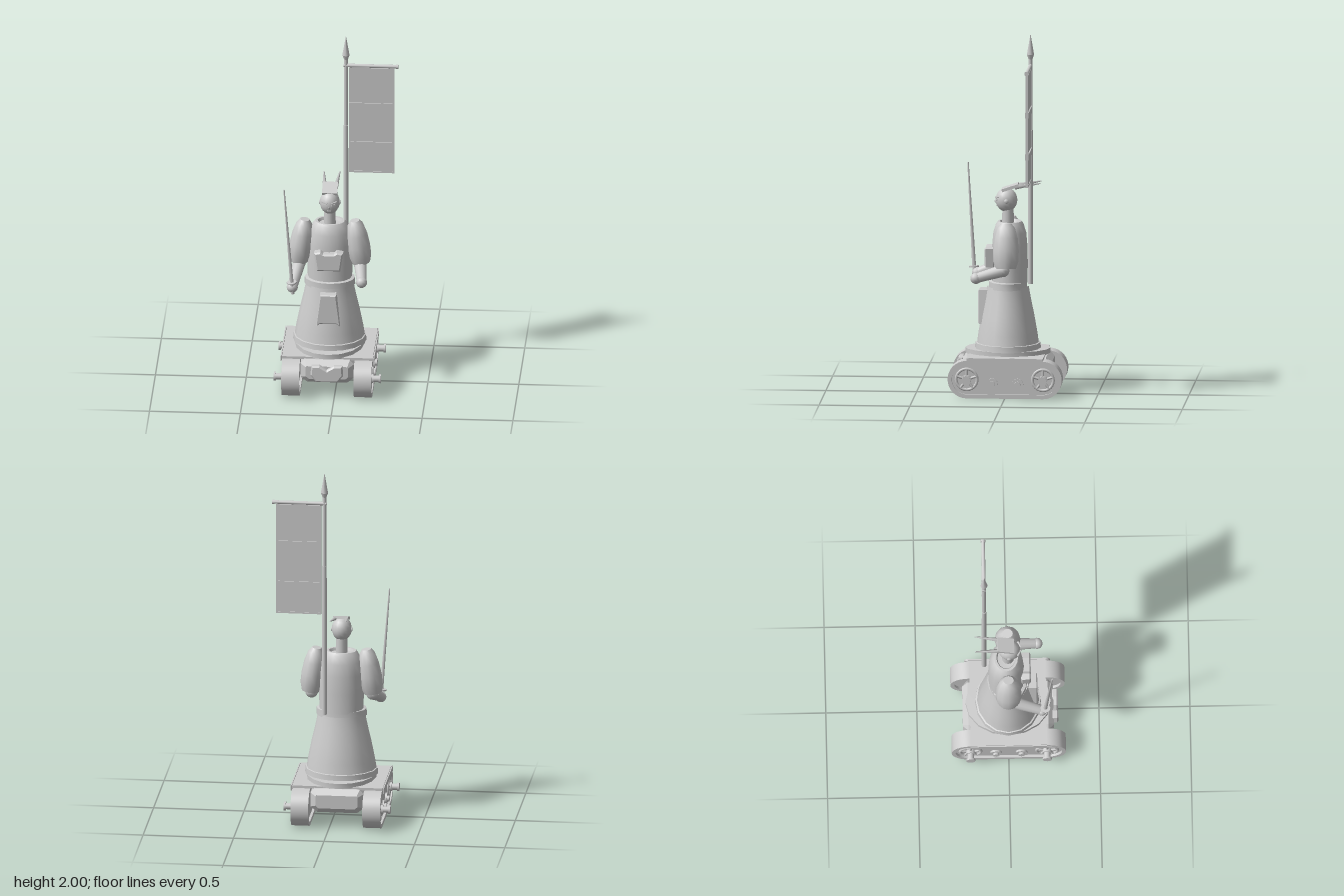
import * as THREE from 'three';
import { toCreasedNormals } from 'three/addons/utils/BufferGeometryUtils.js';

const grey = new THREE.MeshStandardMaterial({ color: 0xcccccc });
grey.name = 'light grey';
const CX = -0.04; // centre line of the figure
const V = (x, y, z) => new THREE.Vector3(x, y, z);

function add(parent, name, geo, x = 0, y = 0, z = 0) {
  const m = new THREE.Mesh(geo, grey);
  m.name = name;
  m.position.set(x, y, z);
  parent.add(m);
  return m;
}
const box = (p, n, w, h, d, x, y, z) => add(p, n, new THREE.BoxGeometry(w, h, d), x, y, z);

// Tapered rod from a to b
function rod(p, n, a, b, r0, r1 = r0, sides = 12) {
  const d = b.clone().sub(a);
  const m = add(p, n, new THREE.CylinderGeometry(r1, r0, d.length(), sides));
  m.position.copy(a).addScaledVector(d, 0.5);
  m.quaternion.setFromUnitVectors(V(0, 1, 0), d.normalize());
  return m;
}

// Elliptical turned part; profile rows are [radius, y]
function turned(p, n, rows, depth, x, z, sides = 16) {
  const g = new THREE.LatheGeometry(rows.map(r => new THREE.Vector2(...r)), sides);
  const m = add(p, n, toCreasedNormals(g, 0.6), x, 0, z);
  m.scale.z = depth;
  return m;
}

// Flat outline extruded toward +z
function plate(p, n, pts, depth, bevel, x, y, z) {
  const s = new THREE.Shape(pts.map(q => new THREE.Vector2(...q)));
  const g = new THREE.ExtrudeGeometry(s, { depth, bevelEnabled: bevel > 0, bevelThickness: bevel,
    bevelSize: bevel, bevelOffset: -bevel, bevelSegments: 1 });
  return add(p, n, g, x, y, z);
}

function stadium(half, r, Type = THREE.Shape) {
  const s = new Type();
  s.moveTo(-half, -r);
  s.lineTo(half, -r);
  s.absarc(half, 0, r, -Math.PI / 2, Math.PI / 2, false);
  s.lineTo(-half, r);
  s.absarc(-half, 0, r, Math.PI / 2, Math.PI * 1.5, false);
  return s;
}

// Track unit, outer face toward +x, centred on its width
function track(side) {
  const g = new THREE.Group();
  g.name = side > 0 ? 'leftTrack' : 'rightTrack';
  const loop = stadium(0.21, 0.104);
  loop.holes.push(stadium(0.21, 0.082, THREE.Path));
  const lg = new THREE.ExtrudeGeometry(loop, { depth: 0.098, bevelEnabled: false, curveSegments: 14 });
  add(g, 'trackBelt', toCreasedNormals(lg.translate(0, 0, -0.049).rotateY(Math.PI / 2), 0.6));
  const ig = new THREE.ExtrudeGeometry(stadium(0.21, 0.083), { depth: 0.07, bevelEnabled: false });
  add(g, 'trackCore', ig.translate(0, 0, -0.035).rotateY(Math.PI / 2));
  for (const z of [-0.21, 0.21]) {
    const rim = add(g, 'wheelRim', new THREE.TorusGeometry(0.058, 0.008, 8, 24), 0.038, 0, z);
    rim.rotation.y = Math.PI / 2;
    for (let i = 0; i < 5; i++) {
      const a = i / 5 * Math.PI * 2;
      rod(g, 'wheelSpoke', V(0.04, 0, z), V(0.04, Math.cos(a) * 0.056, z + Math.sin(a) * 0.056), 0.007, 0.007, 6);
    }
    rod(g, 'axle', V(0.03, 0, z), V(0.088, 0, z), 0.018);
    rod(g, 'axleCap', V(0.085, 0, z), V(0.096, 0, z), 0.025);
    rod(g, 'axleCollar', V(0.03, 0, z), V(0.056, 0, z), 0.026);
  }
  for (const z of [-0.07, 0.07]) {
    rod(g, 'roller', V(0.03, -0.025, z), V(0.046, -0.025, z), 0.032, 0.032, 16);
    rod(g, 'rollerHub', V(0.04, -0.025, z), V(0.058, -0.025, z), 0.017);
  }
  for (const z of [-0.17, 0.17]) for (const y of [-0.035, 0.035])
    rod(g, 'bolt', V(0.03, y, z), V(0.041, y, z), 0.006, 0.006, 6);
  g.position.set(CX + side * 0.1985, 0.104, 0);
  if (side < 0) g.rotation.y = Math.PI;
  return g;
}

function arm(side, hand) {
  const g = new THREE.Group();
  g.name = side > 0 ? 'leftArm' : 'rightArm';
  // Puffed sleeve, leaning outward toward the elbow
  const sleeve = turned(g, 'sleeve', [[0, 0], [0.05, 0], [0.062, 0.04], [0.064, 0.1], [0.058, 0.17],
    [0.044, 0.225], [0.026, 0.25], [0, 0.25]], 1.12, CX + side * 0.172, 0, 12);
  sleeve.position.y = 0.71;
  sleeve.rotation.z = side * 0.14;
  const elbow = V(CX + side * 0.168, 0.7, 0.015);
  add(g, 'elbow', new THREE.SphereGeometry(0.036, 12, 8), elbow.x, elbow.y, elbow.z);
  rod(g, 'forearm', elbow, hand, 0.035, 0.027);
  add(g, 'hand', new THREE.SphereGeometry(0.031, 12, 8), hand.x, hand.y, hand.z);
  return g;
}

export function createModel() {
  const root = new THREE.Group();
  root.name = 'trackedWarrior';

  // Chassis
  const chassis = new THREE.Group();
  chassis.name = 'chassis';
  root.add(chassis);
  chassis.add(track(1), track(-1));
  plate(chassis, 'hull', [[-0.11, 0.08], [0.11, 0.08], [0.147, 0.11], [0.147, 0.19], [0.125, 0.215],
    [-0.125, 0.215], [-0.147, 0.19], [-0.147, 0.11]], 0.44, 0.03, CX, 0, -0.22);
  plate(chassis, 'frontPlate', [[-0.06, 0.1], [0.06, 0.1], [0.09, 0.14], [0.085, 0.195], [0.04, 0.195],
    [0, 0.17], [-0.04, 0.195], [-0.085, 0.195], [-0.09, 0.14]], 0.02, 0.008, CX, 0, 0.247);
  box(chassis, 'deck', 0.5, 0.014, 0.42, CX, 0.217, 0);
  for (const s of [-1, 1]) box(chassis, 'deckLip', 0.006, 0.03, 0.42, CX + s * 0.255, 0.209, 0);

  // Skirt, belt and torso
  const body = new THREE.Group();
  body.name = 'body';
  root.add(body);
  turned(body, 'baseRing', [[0, 0.22], [0.192, 0.22], [0.192, 0.248], [0, 0.25]], 1.22, CX, 0);
  turned(body, 'skirtHem', [[0, 0.245], [0.202, 0.245], [0.199, 0.278], [0.19, 0.28]], 0.9, CX, 0);
  turned(body, 'skirt', [[0.194, 0.27], [0.185, 0.33], [0.165, 0.43], [0.144, 0.52], [0.13, 0.59]], 0.88, CX, 0);
  turned(body, 'belt', [[0.125, 0.58], [0.14, 0.58], [0.138, 0.618], [0.12, 0.622]], 0.76, CX, 0);
  turned(body, 'torso', [[0.122, 0.61], [0.124, 0.72], [0.121, 0.82], [0.113, 0.89], [0.095, 0.935],
    [0.082, 0.95], [0.068, 0.95], [0.06, 0.935], [0, 0.93]], 0.8, CX, -0.01);
  plate(body, 'chestPlate', [[-0.065, 0.7], [0.065, 0.7], [0.08, 0.805], [0.045, 0.812], [0.03, 0.8],
    [-0.03, 0.8], [-0.045, 0.812], [-0.08, 0.805]], 0.04, 0.008, CX, 0, 0.077);
  plate(body, 'skirtFlap', [[-0.066, 0.385], [-0.045, 0.4], [0.045, 0.4], [0.066, 0.385],
    [0.045, 0.572], [-0.045, 0.572]], 0.045, 0.006, CX, 0, 0.11);

  // Head
  const head = new THREE.Group();
  head.name = 'head';
  head.position.set(CX, 0, 0);
  root.add(head);
  rod(head, 'neck', V(0, 0.92, 0), V(0, 1.03, 0), 0.033, 0.031);
  add(head, 'skull', new THREE.SphereGeometry(0.058, 16, 12), 0, 1.068, 0.008).scale.set(0.95, 1.15, 1.03);
  rod(head, 'nose', V(0, 1.052, 0.06), V(0, 1.064, 0.074), 0.008, 0.003, 6);
  box(head, 'mouth', 0.022, 0.005, 0.008, 0, 1.037, 0.058);
  for (const s of [-1, 1]) {
    const brow = box(head, 'brow', 0.034, 0.007, 0.01, s * 0.026, 1.083, 0.059);
    brow.rotation.set(0, s * 0.4, s * 0.2);
    box(head, 'eye', 0.02, 0.007, 0.008, s * 0.023, 1.07, 0.06).rotation.y = s * 0.4;
    const ear = add(head, 'ear', new THREE.SphereGeometry(0.013, 8, 6), s * 0.054, 1.066, 0.005);
    ear.scale.x = 0.5;
    // Swept-back crest horn
    rod(head, 'horn', V(s * 0.031, 1.142, -0.04), V(s * 0.044, 1.168, -0.182), 0.013, 0.003, 4);
  }
  box(head, 'crestPlate', 0.084, 0.016, 0.095, 0, 1.138, -0.014).rotation.x = 0.32;

  // Arms and sword
  const grip = V(-0.235, 0.628, 0.183);
  root.add(arm(1, V(0.145, 0.658, 0.163)), arm(-1, grip));
  const sword = new THREE.Group();
  sword.name = 'sword';
  root.add(sword);
  const low = V(-0.232, 0.595, 0.197), tip = V(-0.277, 1.235, 0.238);
  const at = t => low.clone().lerp(tip, t);
  rod(sword, 'swordGrip', low, at(0.1), 0.01);
  rod(sword, 'swordGuard', at(0.1), at(0.112), 0.028, 0.028, 8);
  rod(sword, 'blade', at(0.11), tip, 0.011, 0.004, 6);

  // Banner on its pole
  const flag = new THREE.Group();
  flag.name = 'banner';
  flag.position.set(0.04, 0, -0.13);
  root.add(flag);
  rod(flag, 'lowerPole', V(0, 0.615, 0), V(0, 1.47, 0), 0.0135, 0.0125);
  rod(flag, 'upperPole', V(0, 1.46, 0), V(0, 1.9, 0), 0.01);
  rod(flag, 'spearSocket', V(0, 1.865, 0), V(0, 1.89, 0), 0.011, 0.02, 8);
  rod(flag, 'spearTip', V(0, 1.89, 0), V(0, 2, 0), 0.02, 0.001, 8);
  rod(flag, 'crossbar', V(-0.012, 1.828, 0), V(0.278, 1.828, 0), 0.01);
  rod(flag, 'crossbarEnd', V(0.276, 1.828, 0), V(0.288, 1.828, 0), 0.013);
  box(flag, 'cloth', 0.245, 0.62, 0.008, 0.142, 1.505, 0);
  for (const x of [0.022, 0.262]) box(flag, 'clothSideHem', 0.009, 0.625, 0.014, x, 1.505, 0);
  for (const y of [1.196, 1.813]) box(flag, 'clothHem', 0.249, 0.009, 0.014, 0.142, y, 0);
  for (const y of [1.36, 1.592]) box(flag, 'clothBand', 0.249, 0.032, 0.02, 0.142, y, 0);

  return root;
}
